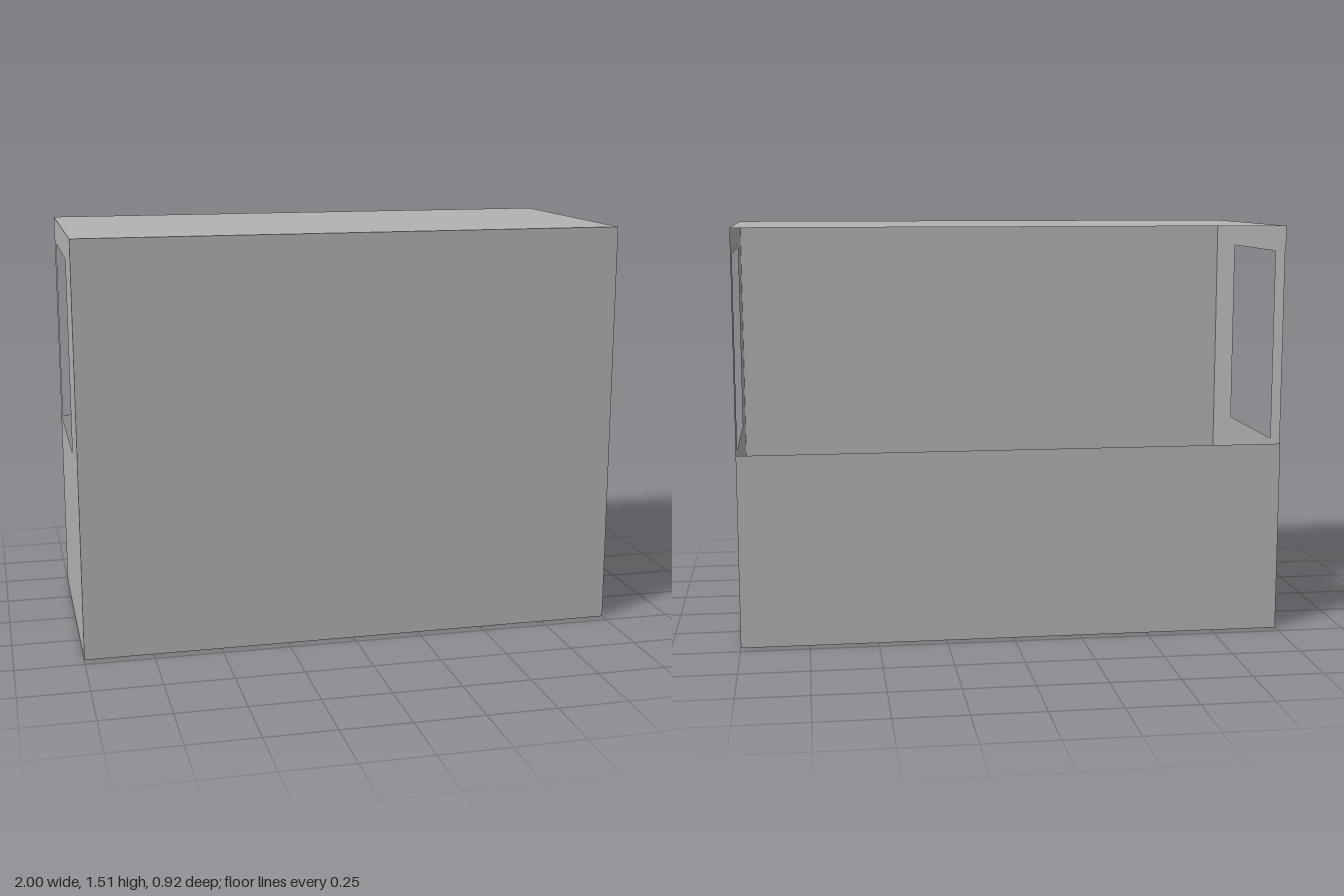
import * as THREE from 'three';

const W = 2, H = 1.513, D = 0.916;
const SILL = 0.708;

export function createModel() {
  const model = new THREE.Group();
  model.name = 'openBooth';
  const grey = new THREE.MeshStandardMaterial({ color: 0xb2b2b2, side: THREE.DoubleSide });
  grey.name = 'plain grey';

  const add = (name, geometry) => {
    const mesh = new THREE.Mesh(geometry, grey);
    mesh.name = name;
    model.add(mesh);
    return mesh;
  };

  // Horizontal panels
  add('floor', new THREE.PlaneGeometry(W, D)).rotation.x = Math.PI / 2;
  const roof = add('roof', new THREE.PlaneGeometry(W, D));
  roof.rotation.x = -Math.PI / 2;
  roof.position.y = H;

  // Full-height front, half-height back
  add('frontWall', new THREE.PlaneGeometry(W, H)).position.set(0, H / 2, D / 2);
  const back = add('backWall', new THREE.PlaneGeometry(W, SILL));
  back.rotation.y = Math.PI;
  back.position.set(0, SILL / 2, -D / 2);

  // End walls with a window and a slightly recessed rear post (shape x = -z)
  const b = D / 2, post = 0.45;
  const outline = [[-b, 0], [b, 0], [b, SILL], [post, SILL], [post, 1.443], [b, 1.443], [b, H], [-b, H]];
  const opening = [[-0.197, SILL], [-0.197, 1.417], [0.336, 1.417], [0.336, SILL]];
  const points = (list) => list.map(([x, y]) => new THREE.Vector2(x, y));
  const wall = new THREE.Shape(points(outline));
  wall.holes.push(new THREE.Path(points(opening)));
  for (const side of [-1, 1]) {
    const end = add(side > 0 ? 'leftWall' : 'rightWall', new THREE.ShapeGeometry(wall));
    end.rotation.y = Math.PI / 2;
    end.position.x = side * W / 2;
  }
  return model;
}
